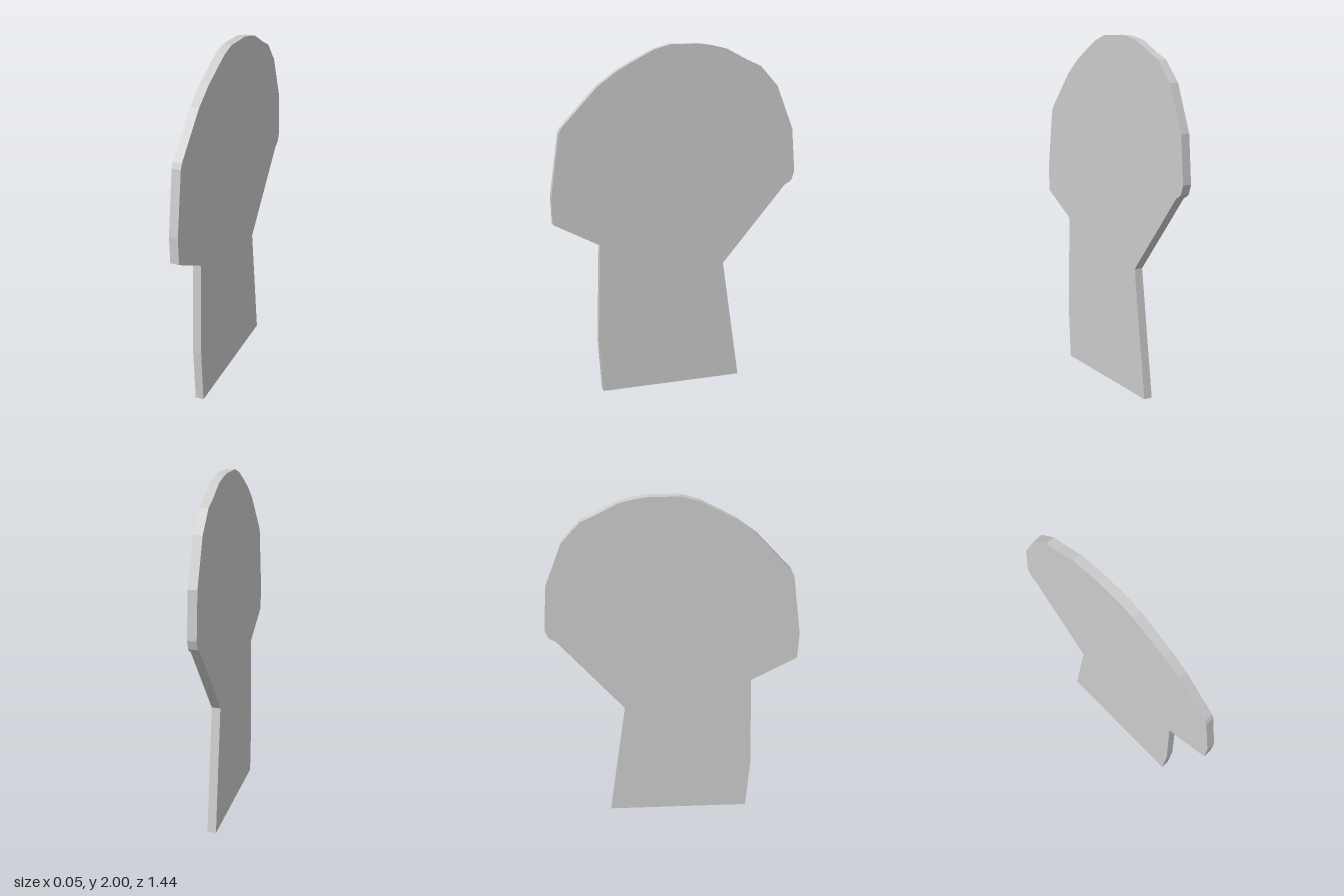
import * as THREE from 'three';

const THICKNESS = 0.05;

// Side silhouette as (z, y), starting at the front foot of the stem
const OUTLINE = [
  [0.455, 0], [0.475, 0.33], [0.455, 0.895],                        // stem, front edge
  [0.715, 1.035], [0.72, 1.19], [0.667, 1.54], [0.653, 1.57],       // front of the head
  [0.45, 1.785], [0.34, 1.865], [0.23, 1.925], [0.13, 1.975],
  [0.04, 2], [-0.13, 2], [-0.2, 1.99], [-0.285, 1.97],              // crown
  [-0.41, 1.905], [-0.49, 1.87], [-0.595, 1.755],
  [-0.695, 1.505], [-0.717, 1.25], [-0.7, 1.2], [-0.685, 1.187],    // back of the head
  [-0.66, 1.175], [-0.28, 0.725], [-0.385, 0],                      // neck and stem, back edge
];

export function createModel() {
  const group = new THREE.Group();
  group.name = 'headSilhouettePanel';

  const shape = new THREE.Shape(OUTLINE.map(([z, y]) => new THREE.Vector2(z, y)));
  const geometry = new THREE.ExtrudeGeometry(shape, { depth: THICKNESS, bevelEnabled: false });
  // Centre the thickness, then turn the outline into the z-y plane
  geometry.translate(0, 0, -THICKNESS / 2);
  geometry.rotateY(-Math.PI / 2);

  const material = new THREE.MeshStandardMaterial({ color: 0xcccccc, flatShading: true });
  const panel = new THREE.Mesh(geometry, material);
  panel.name = 'panel';
  group.add(panel);
  return group;
}
